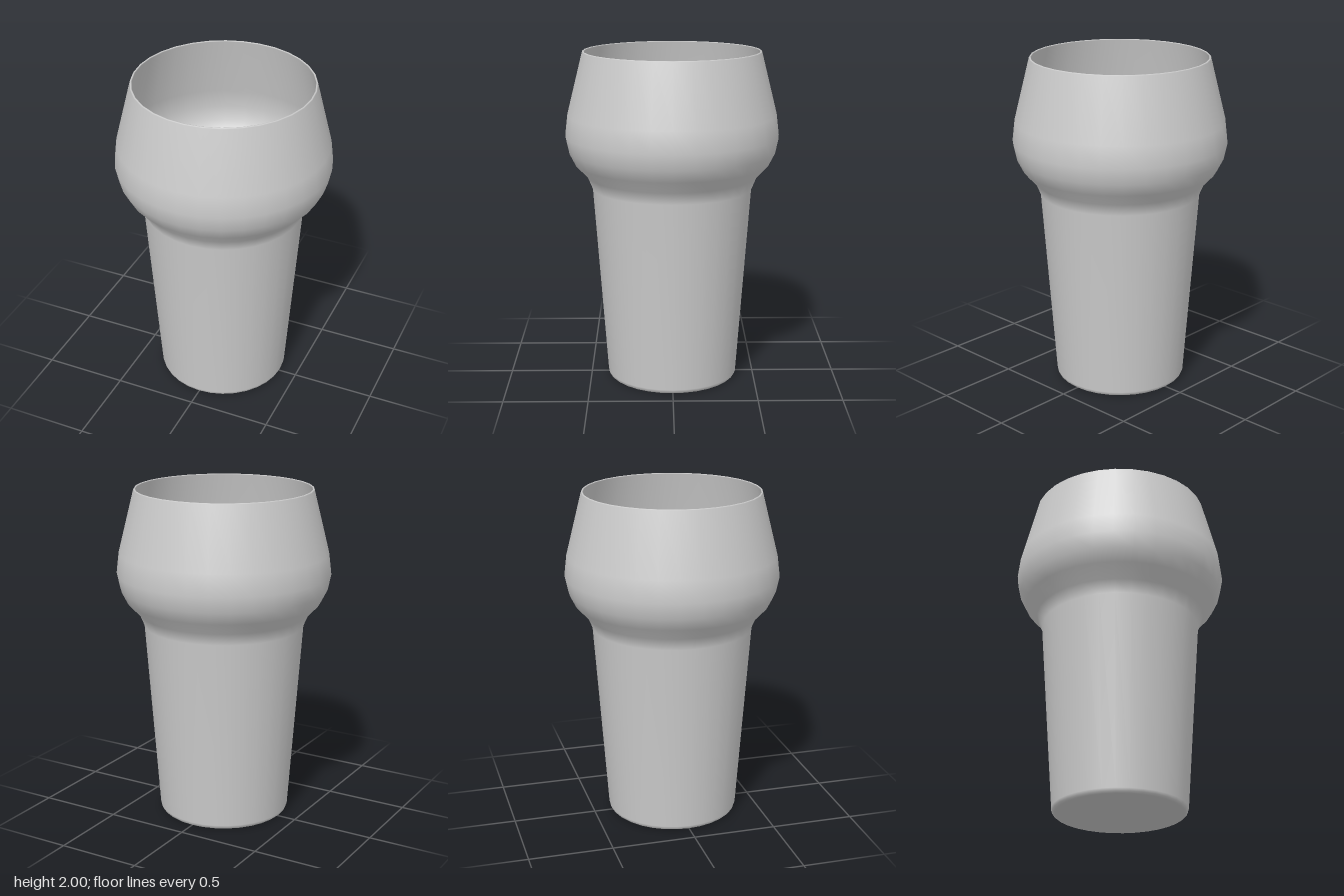
import * as THREE from 'three';

const SIDES = 32;

// Outer wall from the foot up to the rim: radius, height
const OUTER = [
  [0.38, 0], [0.39, 0.008], [0.396, 0.025], [0.479, 1.18], [0.51, 1.255],
  [0.58, 1.33], [0.618, 1.405], [0.638, 1.5], [0.623, 1.625], [0.53, 1.995],
];

// Inner wall from the rim down to the floor
const INNER = [
  [0.518, 1.995], [0.607, 1.62], [0.62, 1.5], [0.602, 1.415], [0.566, 1.346],
  [0.496, 1.27], [0.461, 1.185], [0.379, 0.05], [0.374, 0.034], [0.365, 0.028],
];

export function createModel() {
  const group = new THREE.Group();
  group.name = 'beerGlass';

  // Closed thin-walled profile: underside, outside, rim, inside, floor
  const profile = [
    [0, 0], [0.37, 0], ...OUTER, [0.527, 2], [0.521, 2], ...INNER, [0.355, 0.028], [0, 0.028],
  ].map(([r, y]) => new THREE.Vector2(r, y));

  const glass = new THREE.Mesh(
    new THREE.LatheGeometry(profile, SIDES),
    new THREE.MeshStandardMaterial({ color: 0xcccccc }),
  );
  glass.name = 'glassBody';
  group.add(glass);
  return group;
}
